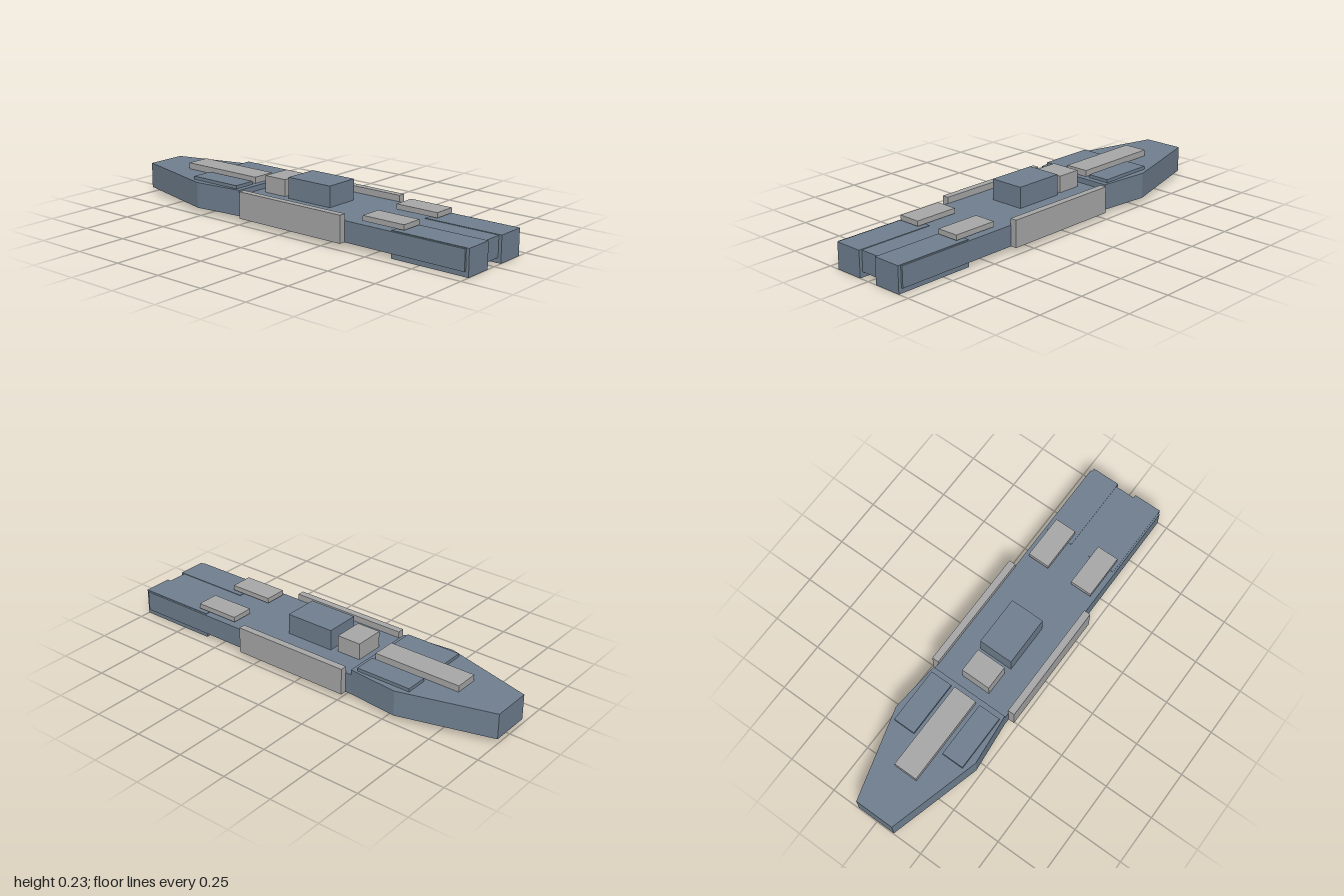
import * as THREE from 'three';

export function createModel() {
  const model = new THREE.Group();
  model.name = 'ship';
  const hullGrey = new THREE.MeshStandardMaterial({ name: 'slate grey', color: 0x708090 });
  const trimGrey = new THREE.MeshStandardMaterial({ name: 'light grey', color: 0xa9a9a9 });

  // Box given by its extents on each axis
  const box = (name, material, [x0, x1], [y0, y1], [z0, z1]) => {
    const mesh = new THREE.Mesh(new THREE.BoxGeometry(x1 - x0, y1 - y0, z1 - z0), material);
    mesh.position.set((x0 + x1) / 2, (y0 + y1) / 2, (z0 + z1) / 2);
    mesh.name = name;
    model.add(mesh);
  };
  // The same box on both sides of the ship
  const pair = (name, material, [x0, x1], y, z) => {
    box(name + 'Left', material, [x0, x1], y, z);
    box(name + 'Right', material, [-x1, -x0], y, z);
  };

  // Main hull
  box('hull', hullGrey, [-0.203, 0.203], [0.025, 0.125], [-0.29, 0.985]);

  // Tapered end section, drawn in plan and extruded upward
  const plan = [[0.203, 0.29], [0.227, 0.545], [0.1, 1], [-0.1, 1], [-0.227, 0.545], [-0.203, 0.29]];
  const shape = new THREE.Shape(plan.map(([x, y]) => new THREE.Vector2(x, y)));
  const bowGeometry = new THREE.ExtrudeGeometry(shape, { depth: 0.126, bevelEnabled: false });
  bowGeometry.rotateX(-Math.PI / 2);
  const bow = new THREE.Mesh(bowGeometry, hullGrey);
  bow.position.y = 0.025;
  bow.name = 'bow';
  model.add(bow);

  // Deck blocks
  box('bridge', hullGrey, [-0.087, 0.087], [0.12, 0.227], [-0.083, 0.167]);
  box('bridgeAnnex', trimGrey, [-0.075, 0.075], [0.12, 0.207], [-0.239, -0.116]);

  // Plates on the bow
  box('spinePlate', trimGrey, [-0.06, 0.06], [0.148, 0.182], [-0.768, -0.319]);
  pair('bowPad', hullGrey, [0.081, 0.193], [0.148, 0.167], [-0.6, -0.318]);

  // Side armour, rear deck plates and engine blocks
  pair('sideArmour', trimGrey, [0.2, 0.234], [0.025, 0.156], [-0.26, 0.348]);
  pair('deckPlate', trimGrey, [0.067, 0.178], [0.134, 0.159], [0.43, 0.655]);
  pair('engine', hullGrey, [0.051, 0.194], [0, 0.128], [0.6, 1]);

  return model;
}
